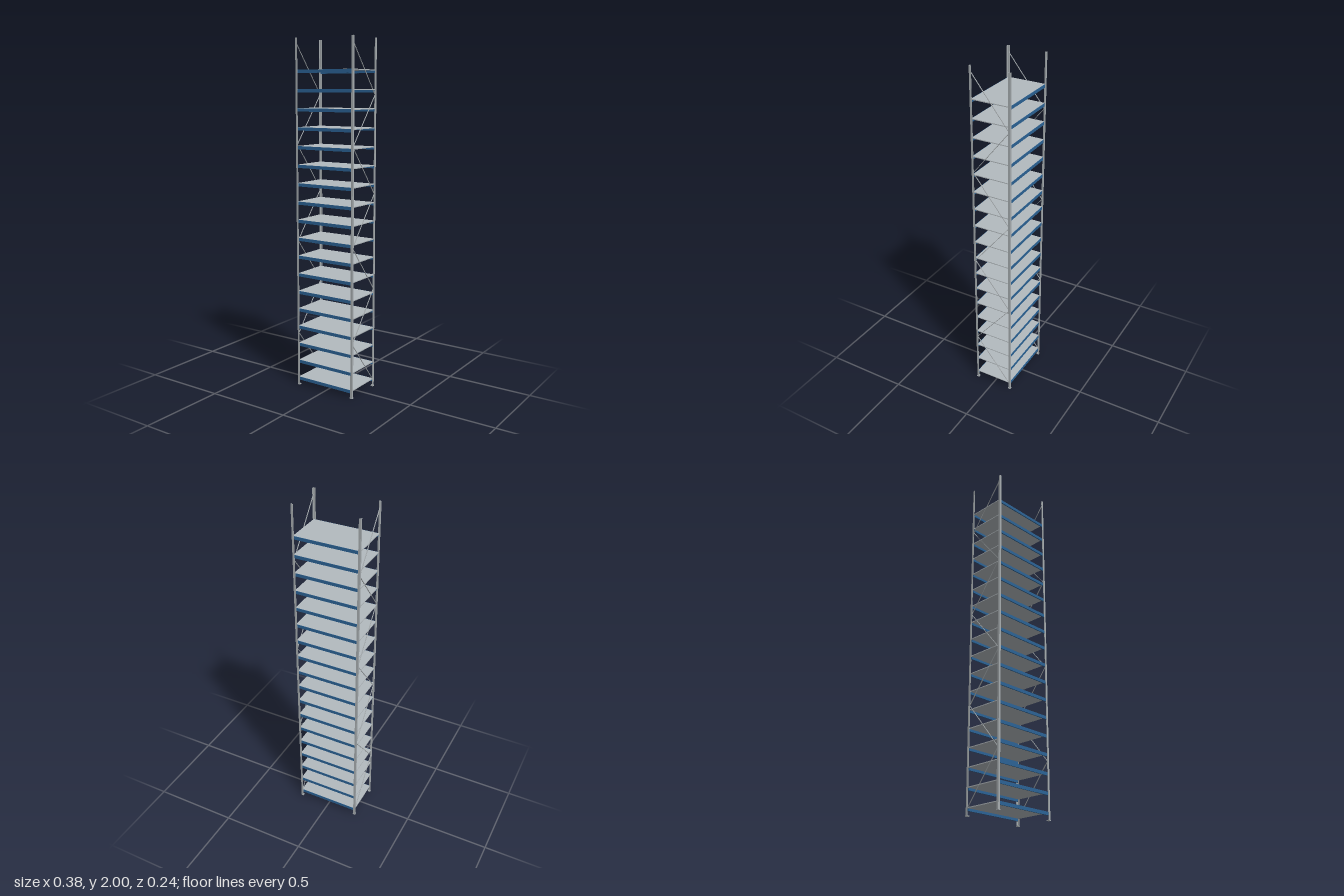
import * as THREE from 'three';

const mat = (name, color) => {
  const m = new THREE.MeshStandardMaterial({ color });
  m.name = name;
  return m;
};

export function createModel() {
  const steel = mat('post grey', 0xa7adb0);
  const panelGrey = mat('panel grey', 0xb3babe);
  const blue = mat('beam blue', 0x2b6396);
  const group = new THREE.Group();
  group.name = 'shelvingRack';

  const box = (name, material, size, pos) => {
    const mesh = new THREE.Mesh(new THREE.BoxGeometry(...size), material);
    mesh.name = name;
    mesh.position.set(...pos);
    group.add(mesh);
    return mesh;
  };

  const X = 0.1845, Z = 0.111, W = 0.012, T = 0.0025;
  const off = (W - T) / 2;

  // Corner posts: two flanges meeting at the outer corner, on square foot plates
  for (const sx of [-1, 1]) for (const sz of [-1, 1]) {
    box('postSideFlange', steel, [T, 1.995, W], [sx * (X + off), 1.0025, sz * Z]);
    box('postFaceFlange', steel, [W - T, 1.995, T], [sx * (X - T / 2), 1.0025, sz * (Z + off)]);
    box('foot', steel, [0.016, 0.005, 0.016], [sx * X, 0.0025, sz * Z]);
  }

  // Eighteen evenly spaced shelves, each a panel carried by two beams
  for (let i = 0; i < 18; i++) {
    const top = 0.047 + i * 0.1048;
    box('shelfPanel', panelGrey, [0.375, 0.005, 0.221], [0, top - 0.0025, 0]);
    for (const sz of [-1, 1]) {
      box('shelfBeam', blue, [0.364, 0.018, 0.006], [0, top - 0.0095, sz * 0.1095]);
    }
  }

  // Zigzag bracing up both ends
  const rise = 0.275, run = 0.22;
  for (const sx of [-1, 1]) {
    for (let i = 0; i < 7; i++) {
      const brace = box('diagonalBrace', steel, [0.004, Math.hypot(rise, run), 0.003],
        [sx * 0.186, 0.042 + (i + 0.5) * rise, 0]);
      brace.rotation.x = Math.atan2(i % 2 ? -run : run, rise);
    }
  }
  return group;
}
